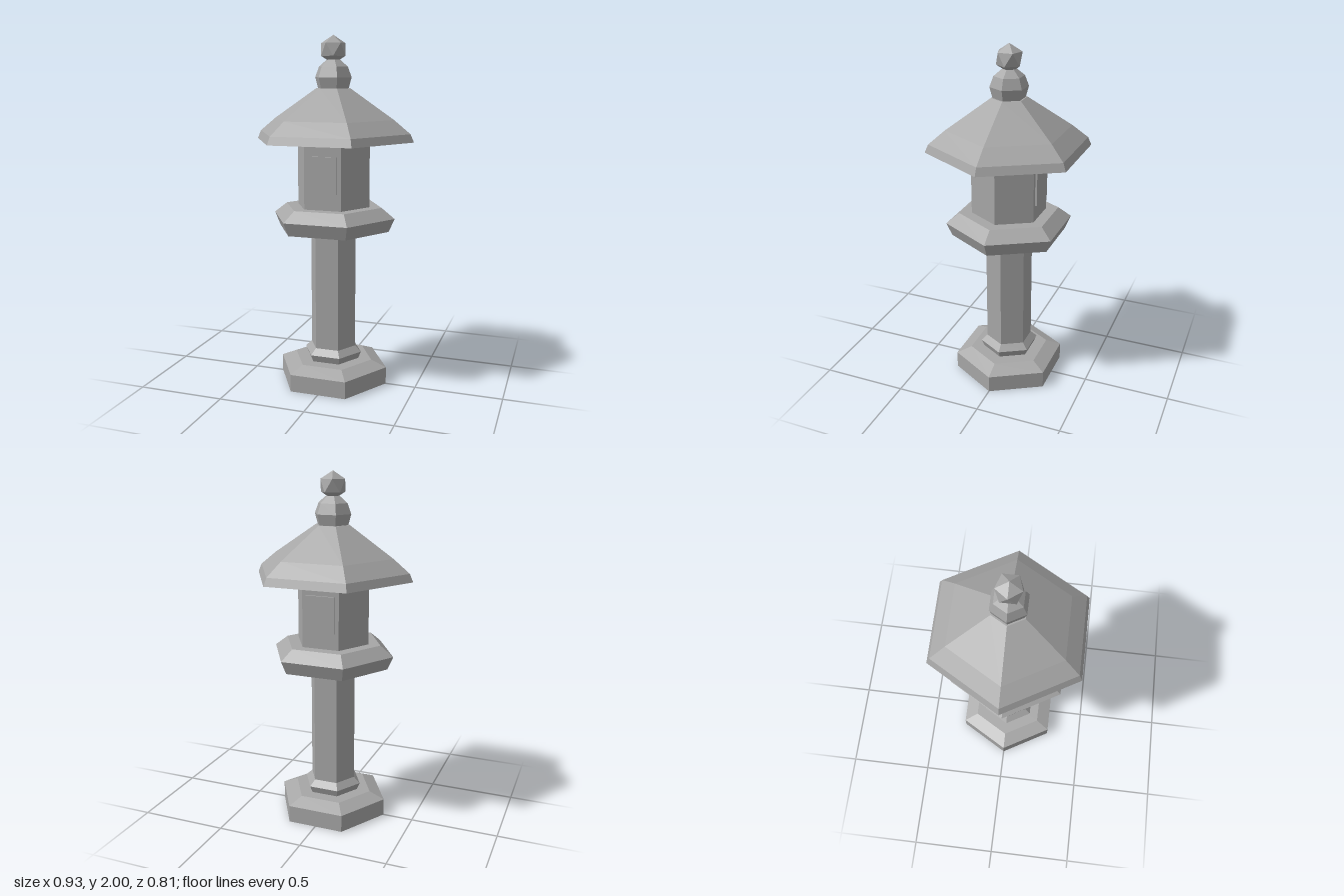
import * as THREE from 'three';

const stone = new THREE.MeshStandardMaterial({ color: 0xa6a6a6 });
stone.name = 'stone';

// Faceted mesh: every face gets its own normals
function addPart(group, name, geometry) {
  const flat = geometry.index ? geometry.toNonIndexed() : geometry;
  flat.computeVertexNormals();
  const mesh = new THREE.Mesh(flat, stone);
  mesh.name = name;
  group.add(mesh);
  return mesh;
}

// Closed six-sided solid from [corner radius, height] pairs, bottom to top
function hexSolid(group, name, profile) {
  const points = [[0, profile[0][1]], ...profile, [0, profile[profile.length - 1][1]]]
    .map(([r, y]) => new THREE.Vector2(r, y));
  // Corners lie on the x axis, flat sides face front and back
  return addPart(group, name, new THREE.LatheGeometry(points, 6, Math.PI / 6));
}

export function createModel() {
  const lantern = new THREE.Group();
  lantern.name = 'stoneLantern';

  // Foot and pillar
  hexSolid(lantern, 'base', [[0.325, 0], [0.325, 0.1], [0.235, 0.137]]);
  hexSolid(lantern, 'lowerCollar', [[0.155, 0.137], [0.172, 0.178], [0.135, 0.213]]);
  hexSolid(lantern, 'pillar', [[0.135, 0.2], [0.135, 0.9]]);
  hexSolid(lantern, 'upperCollar', [[0.135, 0.88], [0.172, 0.912]]);

  // Platform and light chamber
  hexSolid(lantern, 'platform', [[0.33, 0.912], [0.363, 0.988], [0.287, 1.047]]);
  hexSolid(lantern, 'lightChamber', [[0.215, 1.047], [0.215, 1.42]]);

  // Raised panels on the front and back of the chamber
  for (const [name, side] of [['frontPanel', 1], ['backPanel', -1]]) {
    const panel = addPart(lantern, name, new THREE.BoxGeometry(0.168, 0.206, 0.03));
    panel.position.set(0, 1.242, side * 0.182);
  }

  // Roof with a shallow eave and a steep rim
  hexSolid(lantern, 'roof', [[0.465, 1.42], [0.445, 1.465], [0.352, 1.54], [0.1, 1.71]]);

  // Finial and its faceted jewel
  hexSolid(lantern, 'finial', [[0.09, 1.708], [0.107, 1.77], [0.085, 1.828], [0.04, 1.865]]);
  const jewel = new THREE.IcosahedronGeometry(0.079, 0);
  jewel.rotateZ(Math.atan(2 / (1 + Math.sqrt(5)))); // stand it on a corner
  addPart(lantern, 'jewel', jewel).position.y = 1.921;

  return lantern;
}
